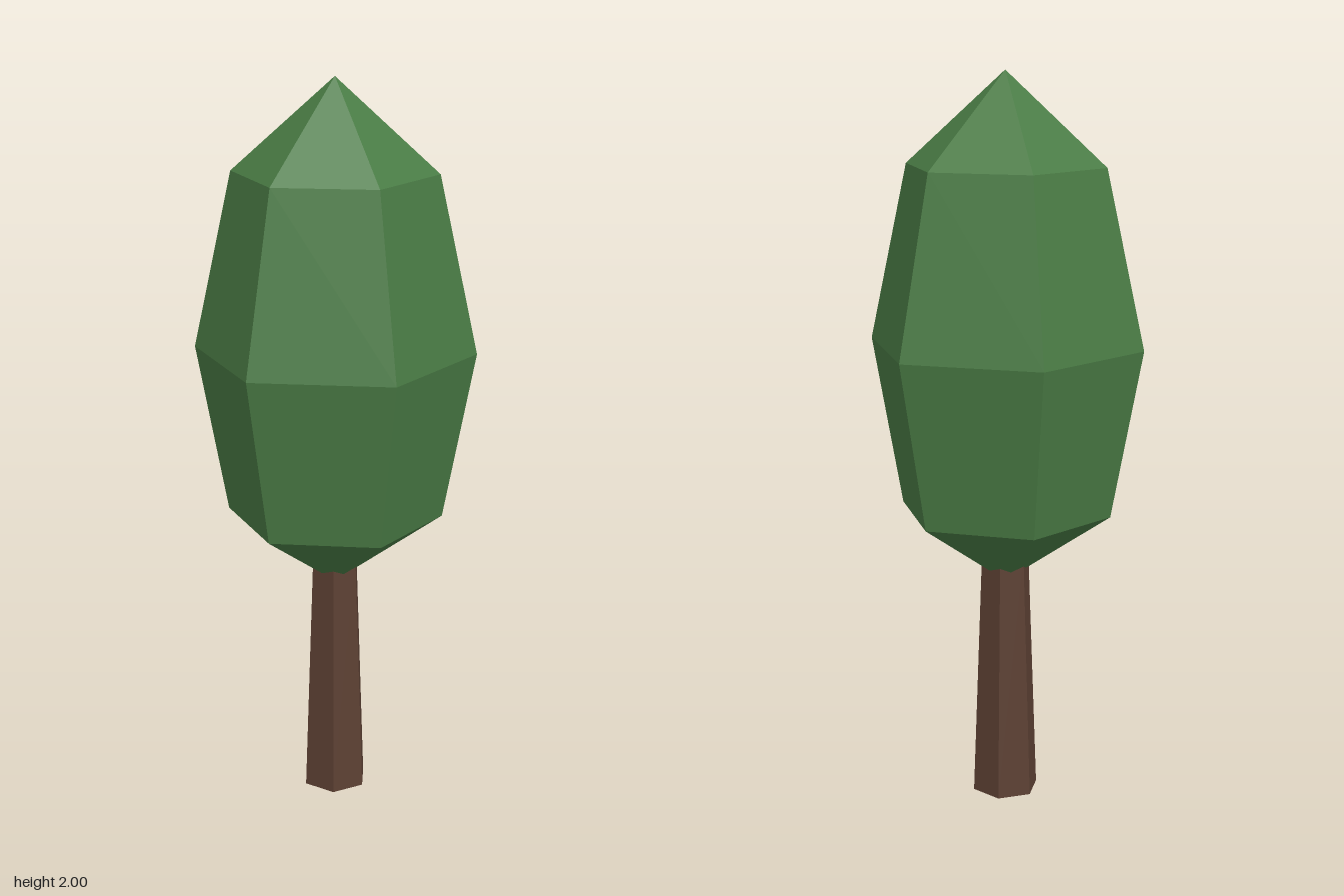
import * as THREE from 'three';

const SIDES = 6;

function addPart(group, name, geometry, material) {
  const mesh = new THREE.Mesh(geometry, material);
  mesh.name = name;
  group.add(mesh);
  return mesh;
}

export function createModel() {
  const tree = new THREE.Group();
  tree.name = 'tree';

  const bark = new THREE.MeshStandardMaterial({ color: 0x5c4033, flatShading: true });
  bark.name = 'bark brown';
  const leaves = new THREE.MeshStandardMaterial({ color: 0x4a7c45, flatShading: true });
  leaves.name = 'leaf green';

  // Tapered hexagonal trunk, its top tucked inside the foliage
  const height = 0.7;
  const trunk = new THREE.CylinderGeometry(0.067, 0.093, height, SIDES);
  trunk.rotateY(Math.PI / 6);
  trunk.translate(0, height / 2, 0);
  addPart(tree, 'trunk', trunk, bark);

  // Tall faceted crown: radius and height from bottom tip to top tip
  const profile = [
    [0, 0.615], [0.294, 0.82], [0.378, 1.28], [0.273, 1.755], [0, 2],
  ].map(([r, y]) => new THREE.Vector2(r, y));
  addPart(tree, 'foliage', new THREE.LatheGeometry(profile, SIDES, -0.058), leaves);

  return tree;
}
